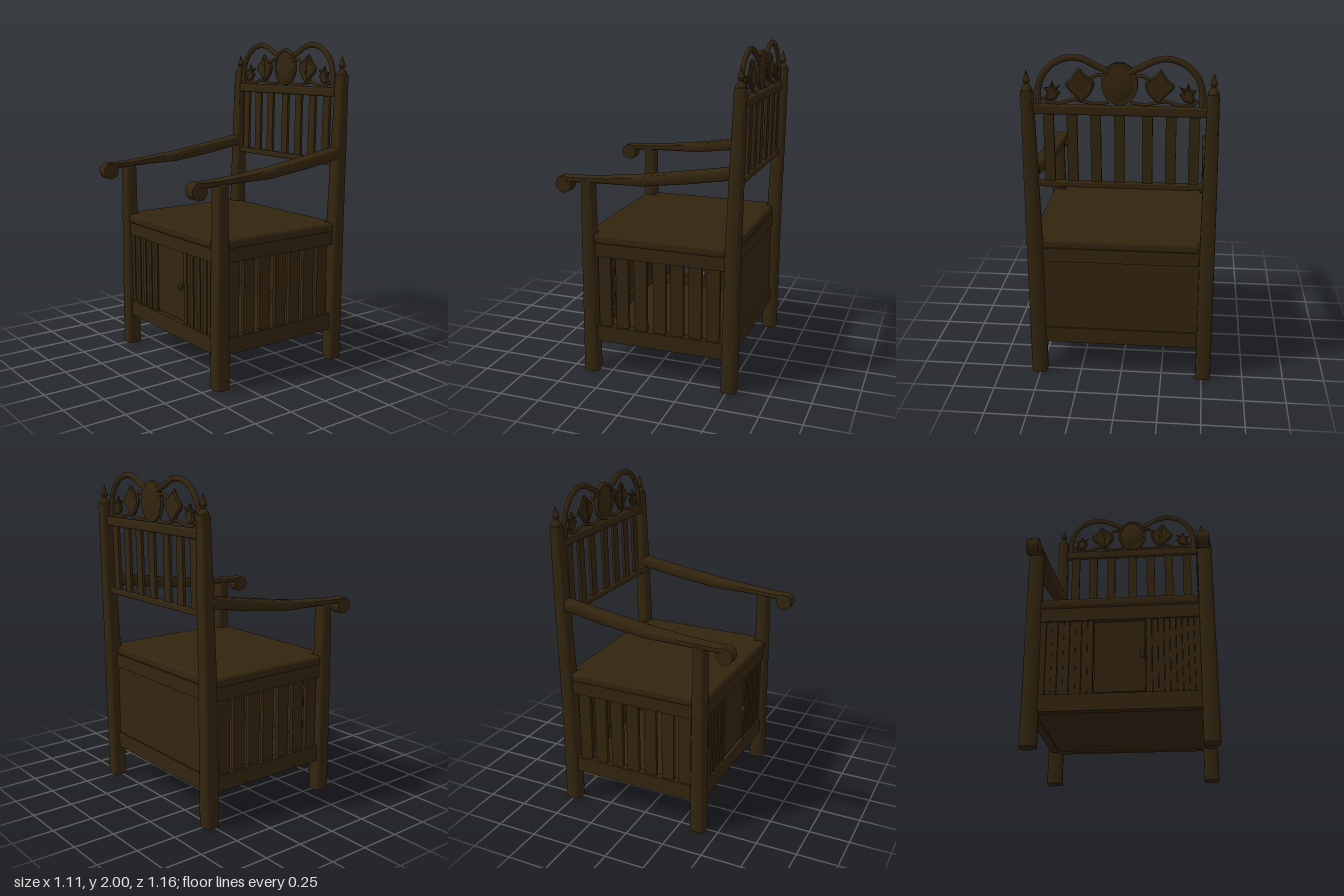
import * as THREE from 'three';
import { toCreasedNormals } from 'three/addons/utils/BufferGeometryUtils.js';
import { RoundedBoxGeometry } from 'three/addons/geometries/RoundedBoxGeometry.js';

const wood = new THREE.MeshStandardMaterial({ color: 0x33250f });
wood.name = 'darkWood';

function add(parent, name, geo, x = 0, y = 0, z = 0) {
  const m = new THREE.Mesh(geo, wood);
  m.name = name;
  m.position.set(x, y, z);
  parent.add(m);
  return m;
}

// Box given by its limits on each axis
function box(parent, name, [x0, x1], [y0, y1], [z0, z1], r = 0) {
  const s = [x1 - x0, y1 - y0, z1 - z0];
  const geo = r ? new RoundedBoxGeometry(...s, 2, r) : new THREE.BoxGeometry(...s);
  return add(parent, name, geo, (x0 + x1) / 2, (y0 + y1) / 2, (z0 + z1) / 2);
}

// Rounded-square sections [position, centreX, centreOther, halfX, halfOther] along y or z
function loft(sections, axis) {
  const n = 16, pos = [], idx = [];
  const put = (x, o, t) => (axis === 'y' ? pos.push(x, t, -o) : pos.push(x, o, t));
  const soft = (v) => Math.sign(v) * Math.pow(Math.abs(v), 0.45);
  for (const [t, cx, co, hx, ho] of sections) {
    const c = axis === 'y' ? -co : co;
    for (let i = 0; i < n; i++) {
      const a = (i / n) * Math.PI * 2;
      put(cx + hx * soft(Math.cos(a)), c + ho * soft(Math.sin(a)), t);
    }
  }
  const last = sections.length - 1;
  for (const s of [sections[0], sections[last]]) put(s[1], axis === 'y' ? -s[2] : s[2], s[0]);
  const cap = sections.length * n;
  for (let i = 0; i < n; i++) {
    const j = (i + 1) % n;
    for (let k = 0; k < last; k++) {
      const a = k * n + i, b = k * n + j;
      idx.push(a, b, b + n, a, b + n, a + n);
    }
    idx.push(cap, j, i, cap + 1, last * n + i, last * n + j);
  }
  const g = new THREE.BufferGeometry();
  g.setAttribute('position', new THREE.Float32BufferAttribute(pos, 3));
  g.setIndex(idx);
  return toCreasedNormals(g, 0.6);
}

// Flat carved ornament with a softened edge, centred on its depth
function carving(points, smooth) {
  const pts = points.map(([x, y]) => new THREE.Vector2(x, y));
  const shape = new THREE.Shape();
  shape.moveTo(pts[0].x, pts[0].y);
  if (smooth) shape.splineThru(pts.slice(1).concat(pts[0]));
  else pts.slice(1).forEach((p) => shape.lineTo(p.x, p.y));
  const g = new THREE.ExtrudeGeometry(shape, {
    depth: 0.008, bevelEnabled: true, bevelSize: 0.01, bevelThickness: 0.008,
    bevelOffset: -0.01, bevelSegments: 1, curveSegments: 4,
  });
  return g.translate(0, 0, -0.004);
}

function tube(points, r) {
  const curve = new THREE.CatmullRomCurve3(points.map(([x, y]) => new THREE.Vector3(x, y, 0)));
  return new THREE.TubeGeometry(curve, 28, r, 8);
}

// Posts, arm and side slats for one side (s = 1 is the left)
function buildSide(s) {
  const g = new THREE.Group();
  g.name = s > 0 ? 'leftSide' : 'rightSide';

  add(g, 'frontLeg', loft([
    [0, s * 0.508, 0.377, 0.048, 0.047], [0.9, s * 0.51, 0.377, 0.044, 0.041],
    [1.215, s * 0.51, 0.377, 0.043, 0.037]], 'y'));
  add(g, 'backPost', loft([
    [0, s * 0.508, -0.508, 0.047, 0.047], [0.9, s * 0.508, -0.518, 0.044, 0.043],
    [1.35, s * 0.509, -0.531, 0.04, 0.039], [1.8, s * 0.51, -0.543, 0.033, 0.033]], 'y'));

  // Spear finial
  const profile = [[0, 0], [0.03, 0], [0.03, 0.015], [0.018, 0.03], [0.012, 0.038], [0.021, 0.055], [0.011, 0.085], [0, 0.117]];
  add(g, 'finial', toCreasedNormals(new THREE.LatheGeometry(
    profile.map(([x, y]) => new THREE.Vector2(x, y)), 10), 0.7), s * 0.51, 1.798, -0.543);

  // Armrest with a rolled front end
  add(g, 'armrest', loft([
    [-0.5, s * 0.505, 1.322, 0.039, 0.036], [-0.25, s * 0.507, 1.281, 0.044, 0.036],
    [0.03, s * 0.509, 1.242, 0.048, 0.032], [0.25, s * 0.509, 1.228, 0.047, 0.021],
    [0.4, s * 0.506, 1.219, 0.042, 0.018], [0.53, s * 0.503, 1.214, 0.036, 0.019]], 'z'));
  const roll = new THREE.CylinderGeometry(0.051, 0.051, 0.072, 18);
  roll.rotateZ(Math.PI / 2);
  add(g, 'armScroll', toCreasedNormals(roll, 0.6), s * 0.502, 1.182, 0.53);

  // Slatted side panel
  const xs = (c, w) => [s * c - w, s * c + w];
  box(g, 'sideLowerRail', xs(0.505, 0.025), [0.2, 0.3], [-0.49, 0.35]);
  box(g, 'sideUpperRail', xs(0.505, 0.025), [0.75, 0.835], [-0.49, 0.35]);
  for (const z of [0.283, 0.17, 0.052, -0.069, -0.18, -0.293, -0.404])
    box(g, 'sideSlat', xs(0.505, 0.012), [0.29, 0.76], [z - 0.04, z + 0.04]);
  return g;
}

// Cupboard base with planked front, door, back and floor
function buildBase() {
  const g = new THREE.Group();
  g.name = 'base';
  box(g, 'frontLowerRail', [-0.48, 0.48], [0.2, 0.3], [0.35, 0.4]);
  box(g, 'frontUpperRail', [-0.48, 0.48], [0.75, 0.835], [0.35, 0.4]);
  for (const s of [-1, 1])
    for (let i = 0; i < 9; i++) {
      const x = s * (0.17 + i * 0.0348), front = i % 2 ? 0.384 : 0.39;
      box(g, 'frontPlank', [x - 0.0165, x + 0.0165], [0.29, 0.76], [0.365, front]);
    }
  box(g, 'door', [-0.147, 0.147], [0.31, 0.742], [0.362, 0.382]);
  add(g, 'doorKnob', new THREE.SphereGeometry(0.017, 12, 8), 0.132, 0.53, 0.398).scale.set(0.8, 1.6, 1);

  box(g, 'backPanel', [-0.48, 0.48], [0.28, 0.77], [-0.505, -0.485]);
  box(g, 'backLowerRail', [-0.48, 0.48], [0.2, 0.3], [-0.515, -0.48]);
  box(g, 'backUpperRail', [-0.48, 0.48], [0.75, 0.835], [-0.515, -0.48]);
  box(g, 'floor', [-0.49, 0.49], [0.21, 0.23], [-0.49, 0.36]);

  // Seat notched around the four posts
  box(g, 'seat', [-0.465, 0.465], [0.83, 0.89], [-0.515, 0.415], 0.02);
  box(g, 'seatSides', [-0.54, 0.54], [0.83, 0.889], [-0.48, 0.345], 0.02);
  return g;
}

// Slatted backrest
function buildBack() {
  const g = new THREE.Group();
  g.name = 'backrest';
  box(g, 'backrestLowerRail', [-0.485, 0.485], [1.238, 1.274], [-0.545, -0.508], 0.008);
  box(g, 'backrestUpperRail', [-0.485, 0.485], [1.665, 1.722], [-0.55, -0.512], 0.012);
  for (const x of [-0.413, -0.284, -0.154, 0, 0.133, 0.265, 0.396]) {
    const m = box(g, 'backrestSlat', [x - 0.029, x + 0.029], [1.26, 1.68], [-0.539, -0.521]);
    m.rotation.x = -0.015;
  }
  return g;
}

// Carved crest: twin arches, leaves and an oval medallion
function buildCrest() {
  const g = new THREE.Group();
  g.name = 'crest';
  g.position.z = -0.527;
  const leaf = [[-0.225, 1.925], [-0.19, 1.89], [-0.14, 1.85], [-0.155, 1.79], [-0.215, 1.735],
    [-0.245, 1.77], [-0.3, 1.83], [-0.265, 1.87]];
  const sprig = [[-0.385, 1.735], [-0.35, 1.75], [-0.325, 1.79], [-0.345, 1.8], [-0.325, 1.83], [-0.358, 1.82],
    [-0.372, 1.852], [-0.388, 1.815], [-0.417, 1.815], [-0.402, 1.785], [-0.415, 1.755]];
  for (const s of [-1, 1]) {
    // mirror points, keeping the outline direction
    const flip = (pts) => {
      const p = pts.map(([x, y]) => [-s * x, y]);
      return s > 0 ? p.reverse() : p;
    };
    const arch = [[-0.45, 1.71], [-0.452, 1.79], [-0.425, 1.88], [-0.36, 1.95], [-0.27, 1.982],
      [-0.2, 1.974], [-0.12, 1.935], [-0.05, 1.905]];
    add(g, 'archRail', tube(flip(arch), 0.018)).scale.z = 0.8;
    add(g, 'largeLeaf', carving(flip(leaf), true));
    add(g, 'leafVein', tube(flip([[-0.222, 1.9], [-0.21, 1.83], [-0.213, 1.75]]), 0.008), 0, 0, 0.009);
    add(g, 'smallLeaf', carving(flip(sprig), false));
    add(g, 'vine', tube(flip([[-0.43, 1.76], [-0.4, 1.735], [-0.32, 1.73], [-0.25, 1.75], [-0.2, 1.74],
      [-0.13, 1.728], [-0.06, 1.74]]), 0.01));
    add(g, 'leafStem', tube(flip([[-0.17, 1.86], [-0.12, 1.89], [-0.07, 1.88]]), 0.01));
  }
  const disc = new THREE.CylinderGeometry(0.1, 0.1, 0.02, 28);
  disc.rotateX(Math.PI / 2);
  add(g, 'medallion', toCreasedNormals(disc, 0.6), 0, 1.842, 0).scale.y = 1.18;
  add(g, 'medallionDome', new THREE.SphereGeometry(0.086, 24, 12), 0, 1.842, 0).scale.set(1, 1.2, 0.24);
  add(g, 'medallionRim', new THREE.TorusGeometry(0.092, 0.009, 8, 32), 0, 1.842, 0.009).scale.y = 1.18;
  return g;
}

export function createModel() {
  const model = new THREE.Group();
  model.name = 'armchair';
  model.add(buildSide(1), buildSide(-1), buildBase(), buildBack(), buildCrest());
  return model;
}
